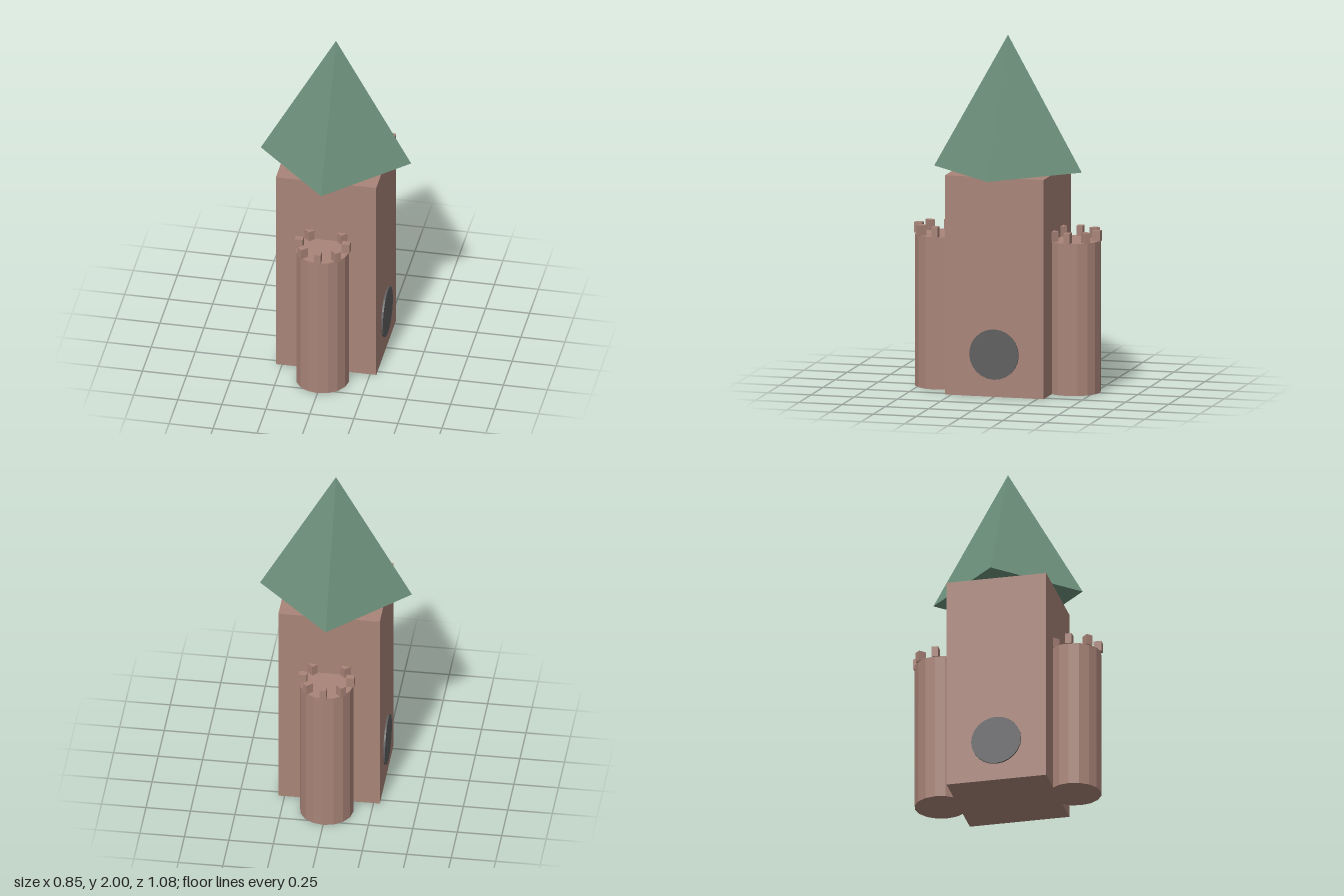
import * as THREE from 'three';

export function createModel() {
  const root = new THREE.Group();
  root.name = 'castleKeep';

  const mat = (name, color) => {
    const m = new THREE.MeshStandardMaterial({ color, flatShading: true });
    m.name = name;
    return m;
  };
  const stone = mat('stone', 0xa98478);
  const roofGreen = mat('roofGreen', 0x6d917c);
  const darkGrey = mat('darkGrey', 0x5f5f61);

  const add = (parent, name, geometry, material, x, y, z) => {
    const mesh = new THREE.Mesh(geometry, material);
    mesh.name = name;
    mesh.position.set(x, y, z);
    parent.add(mesh);
    return mesh;
  };

  // Square keep and its pyramid roof, turned corner-forward
  add(root, 'keep', new THREE.BoxGeometry(0.57, 1.24, 0.57), stone, 0, 0.62, 0);
  add(root, 'roof', new THREE.ConeGeometry(0.427, 0.76, 4), roofGreen, 0, 1.62, 0);

  // Round towers at front and back, each with a ring of merlons
  const towerGeo = new THREE.CylinderGeometry(0.15, 0.15, 0.86, 16);
  const merlonGeo = new THREE.BoxGeometry(0.036, 0.06, 0.046);
  for (const side of [1, -1]) {
    const tower = new THREE.Group();
    tower.name = side > 0 ? 'frontTower' : 'backTower';
    tower.position.z = side * 0.382;
    root.add(tower);
    add(tower, 'towerWall', towerGeo, stone, 0, 0.43, 0);
    for (let i = 0; i < 8; i++) {
      const a = (i * Math.PI) / 4;
      const merlon = add(tower, 'merlon', merlonGeo, stone,
        Math.sin(a) * 0.133, 0.888, Math.cos(a) * 0.133);
      merlon.rotation.y = a;
    }
  }

  // Round doors on the left and right walls
  const doorGeo = new THREE.CylinderGeometry(0.142, 0.142, 0.02, 24).rotateZ(Math.PI / 2);
  for (const side of [1, -1]) {
    add(root, side > 0 ? 'leftDoor' : 'rightDoor', doorGeo, darkGrey, side * 0.285, 0.24, 0);
  }

  return root;
}
